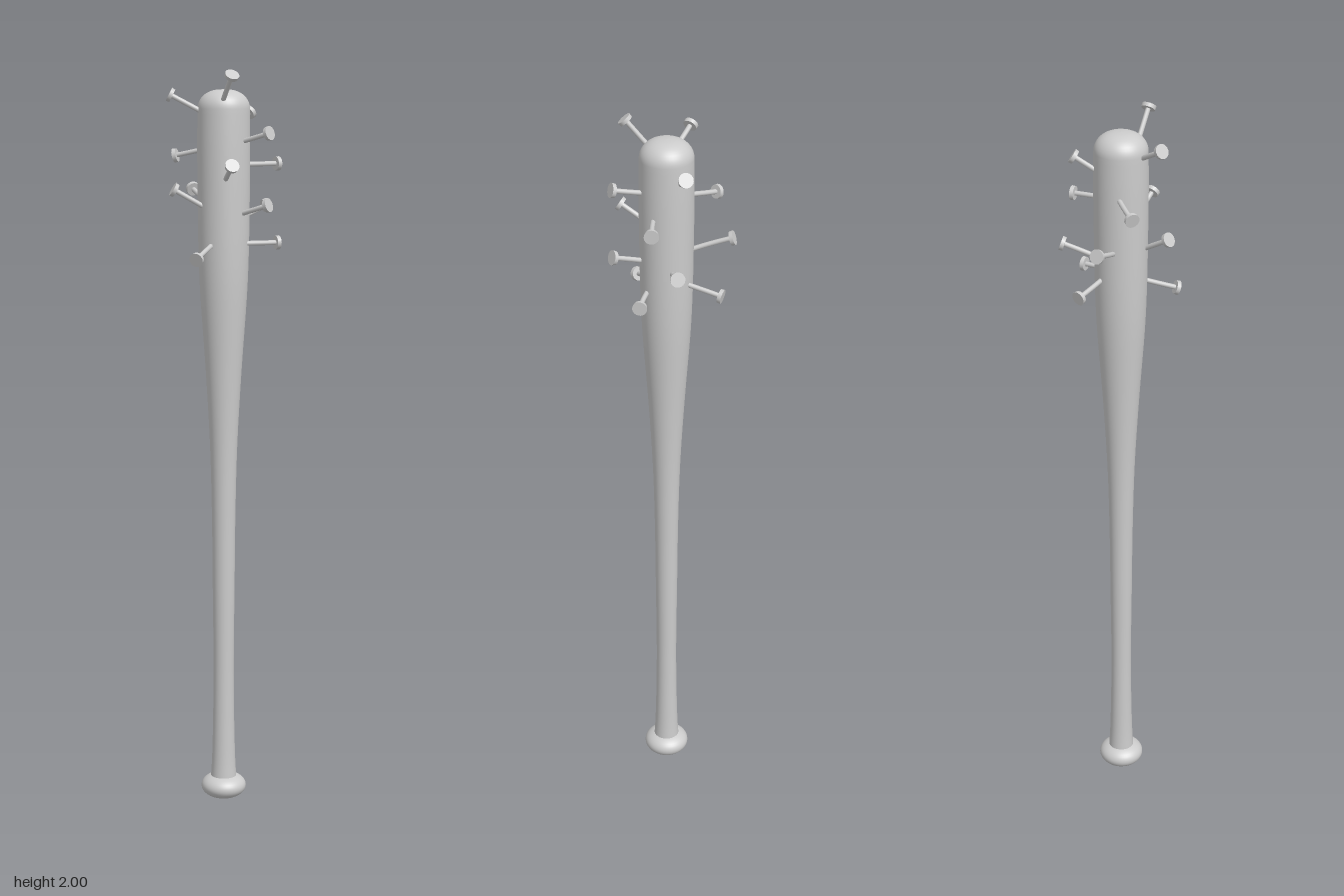
import * as THREE from 'three';

const wood = new THREE.MeshStandardMaterial({ color: 0xcccccc });
const V = (x, y, z) => new THREE.Vector3(x, y, z);
const AXIS_Z = -0.006; // the bat's axis sits slightly behind centre

function lathe(name, pts, segments = 48) {
  const geo = new THREE.LatheGeometry(pts.map(([r, y]) => new THREE.Vector2(r, y)), segments);
  const mesh = new THREE.Mesh(geo, wood);
  mesh.name = name;
  mesh.position.z = AXIS_Z;
  return mesh;
}

// Nail: slightly bent shaft from inside the wood to a flat disc head
function nail(head, base, bend, index) {
  const group = new THREE.Group();
  group.name = `nail${index + 1}`;
  const dir = head.clone().sub(base).normalize();
  const root = base.clone().addScaledVector(dir, -0.025);
  const side = V(-dir.z, 0, dir.x).normalize();
  const mid = root.clone().lerp(head, 0.5).addScaledVector(side, bend);
  const path = new THREE.QuadraticBezierCurve3(root, mid, head);

  const shaft = new THREE.Mesh(new THREE.TubeGeometry(path, 8, 0.0065, 10), wood);
  shaft.name = 'nailShaft';

  const disc = new THREE.Mesh(new THREE.CylinderGeometry(0.019, 0.018, 0.01, 20), wood);
  disc.name = 'nailHead';
  disc.position.copy(head);
  disc.quaternion.setFromUnitVectors(V(0, 1, 0), path.getTangent(1));
  group.add(shaft, disc);
  return group;
}

export function createModel() {
  const model = new THREE.Group();
  model.name = 'nailedBat';

  // Barrel and handle: smooth taper closed by a rounded tip
  const taper = new THREE.SplineCurve([
    [0.036, 0.05], [0.032, 0.12], [0.029, 0.25], [0.028, 0.4], [0.030, 0.6], [0.032, 0.8],
    [0.037, 1.0], [0.048, 1.2], [0.062, 1.4], [0.067, 1.52], [0.069, 1.65], [0.07, 1.8], [0.069, 1.9],
  ].map(([r, y]) => new THREE.Vector2(r, y))).getPoints(48).map(p => [p.x, p.y]);
  const tip = [];
  for (let i = 1; i <= 10; i++) {
    const a = (i / 10) * Math.PI / 2;
    tip.push([i === 10 ? 0 : 0.069 * Math.pow(Math.cos(a), 0.8), 1.9 + 0.05 * Math.sin(a)]);
  }
  model.add(lathe('batBody', [...taper, ...tip]));

  // Knob: flattened ball at the bottom of the handle
  const knob = [];
  for (let i = 0; i <= 20; i++) {
    const a = -Math.PI / 2 + (i / 20) * Math.PI;
    knob.push([i % 20 === 0 ? 0 : 0.062 * Math.pow(Math.cos(a), 0.85), 0.034 + 0.034 * Math.sin(a)]);
  }
  model.add(lathe('knob', knob));

  // Nails: head x y z, point of entry x y z, sideways bend
  const nails = [
    [0.058, 1.985, 0.086, 0.024, 1.93, 0.053, 0],
    [-0.125, 1.935, 0.056, -0.058, 1.898, 0.034, 0.003],
    [0.03, 1.888, -0.12, 0.008, 1.855, -0.072, 0],
    [0.14, 1.838, 0.032, 0.067, 1.818, 0.014, -0.003],
    [-0.146, 1.775, -0.026, -0.067, 1.792, -0.029, 0.003],
    [0.117, 1.755, -0.096, 0.063, 1.755, -0.034, 0.003],
    [0.064, 1.755, 0.1, 0.03, 1.72, 0.055, 0],
    [-0.104, 1.69, 0.084, -0.044, 1.65, 0.048, 0],
    [-0.13, 1.682, -0.11, -0.055, 1.65, -0.048, -0.008],
    [0.138, 1.652, 0.034, 0.067, 1.63, 0.016, 0.003],
    [0.07, 1.64, -0.14, 0.03, 1.613, -0.07, 0.003],
    [0.13, 1.548, -0.064, 0.066, 1.548, -0.012, 0.005],
    [-0.07, 1.548, -0.14, -0.024, 1.565, -0.07, -0.002],
    [-0.018, 1.515, 0.14, -0.01, 1.543, 0.061, 0.002],
  ];
  nails.forEach(([hx, hy, hz, bx, by, bz, bend], i) =>
    model.add(nail(V(hx, hy, hz), V(bx, by, bz), bend, i)));

  return model;
}
